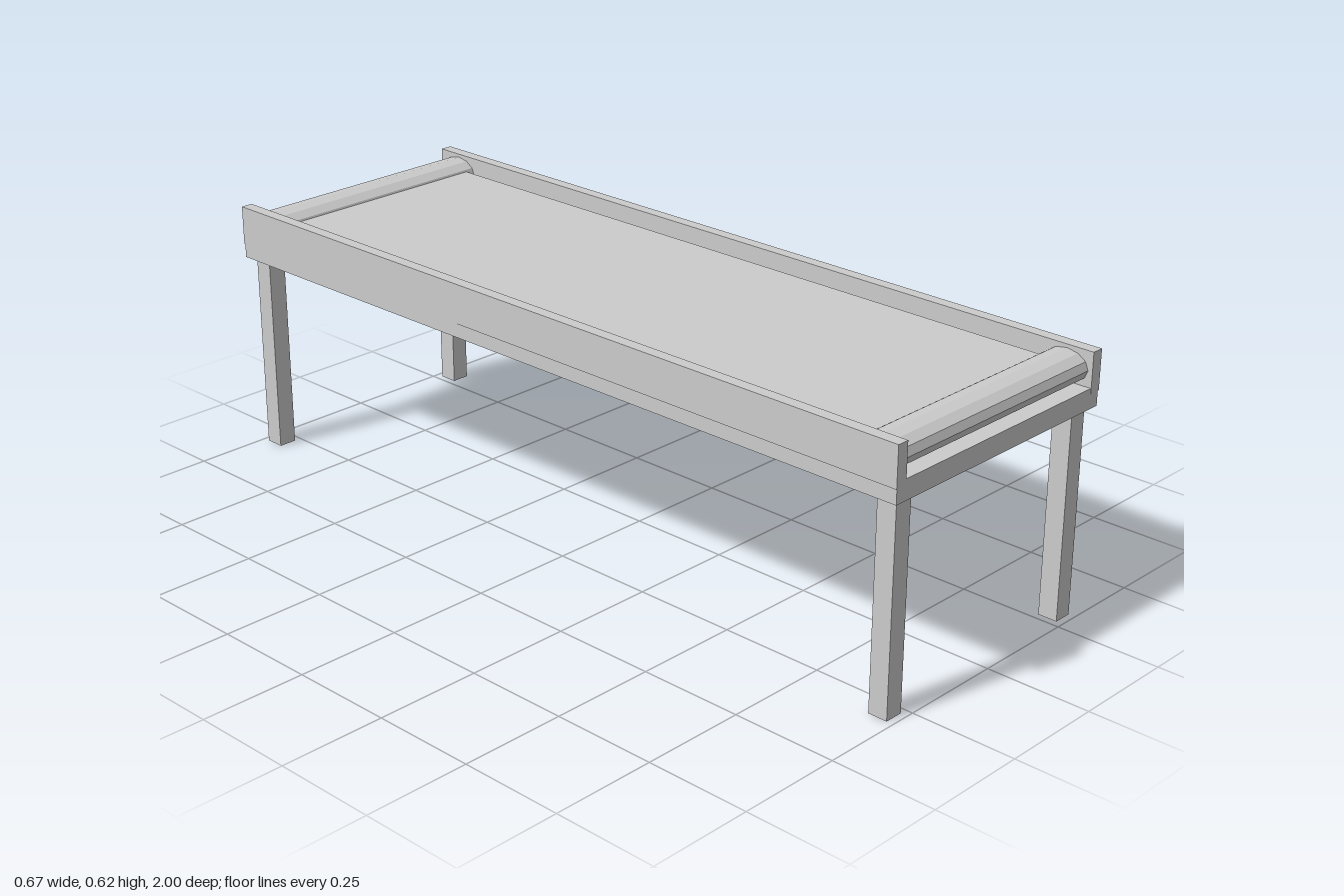
import * as THREE from 'three';

export function createModel() {
  const model = new THREE.Group();
  model.name = 'conveyorTable';
  const grey = new THREE.MeshStandardMaterial({ color: 0xcccccc, flatShading: true });
  grey.name = 'light grey';

  // Box given by its lower and upper corner
  function box(name, x0, x1, y0, y1, z0, z1) {
    const mesh = new THREE.Mesh(new THREE.BoxGeometry(x1 - x0, y1 - y0, z1 - z0), grey);
    mesh.position.set((x0 + x1) / 2, (y0 + y1) / 2, (z0 + z1) / 2);
    mesh.name = name;
    model.add(mesh);
  }

  // Base plate and the raised belt surface on it
  box('deck', -0.333, 0.333, 0.488, 0.535, -0.999, 0.999);
  box('belt', -0.285, 0.285, 0.53, 0.585, -0.885, 0.885);

  // Side rails, slightly proud of the deck
  box('leftRail', 0.306, 0.335, 0.522, 0.616, -1, 1);
  box('rightRail', -0.335, -0.306, 0.522, 0.616, -1, 1);

  // Flattened faceted rollers at both ends
  const rollerGeometry = new THREE.CylinderGeometry(1, 1, 0.612, 12);
  rollerGeometry.rotateZ(Math.PI / 2);
  rollerGeometry.scale(1, 0.0365, 0.055);
  for (const end of [1, -1]) {
    const roller = new THREE.Mesh(rollerGeometry, grey);
    roller.position.set(0, 0.5715, end * 0.934);
    roller.name = end > 0 ? 'frontRoller' : 'backRoller';
    model.add(roller);
  }

  // Four square legs
  for (const sx of [1, -1]) {
    for (const sz of [1, -1]) {
      const name = (sz > 0 ? 'front' : 'back') + (sx > 0 ? 'Left' : 'Right') + 'Leg';
      const x = sx * 0.2895, z = sz * 0.96;
      box(name, x - 0.0225, x + 0.0225, 0, 0.49, z - 0.0235, z + 0.0235);
    }
  }
  return model;
}
